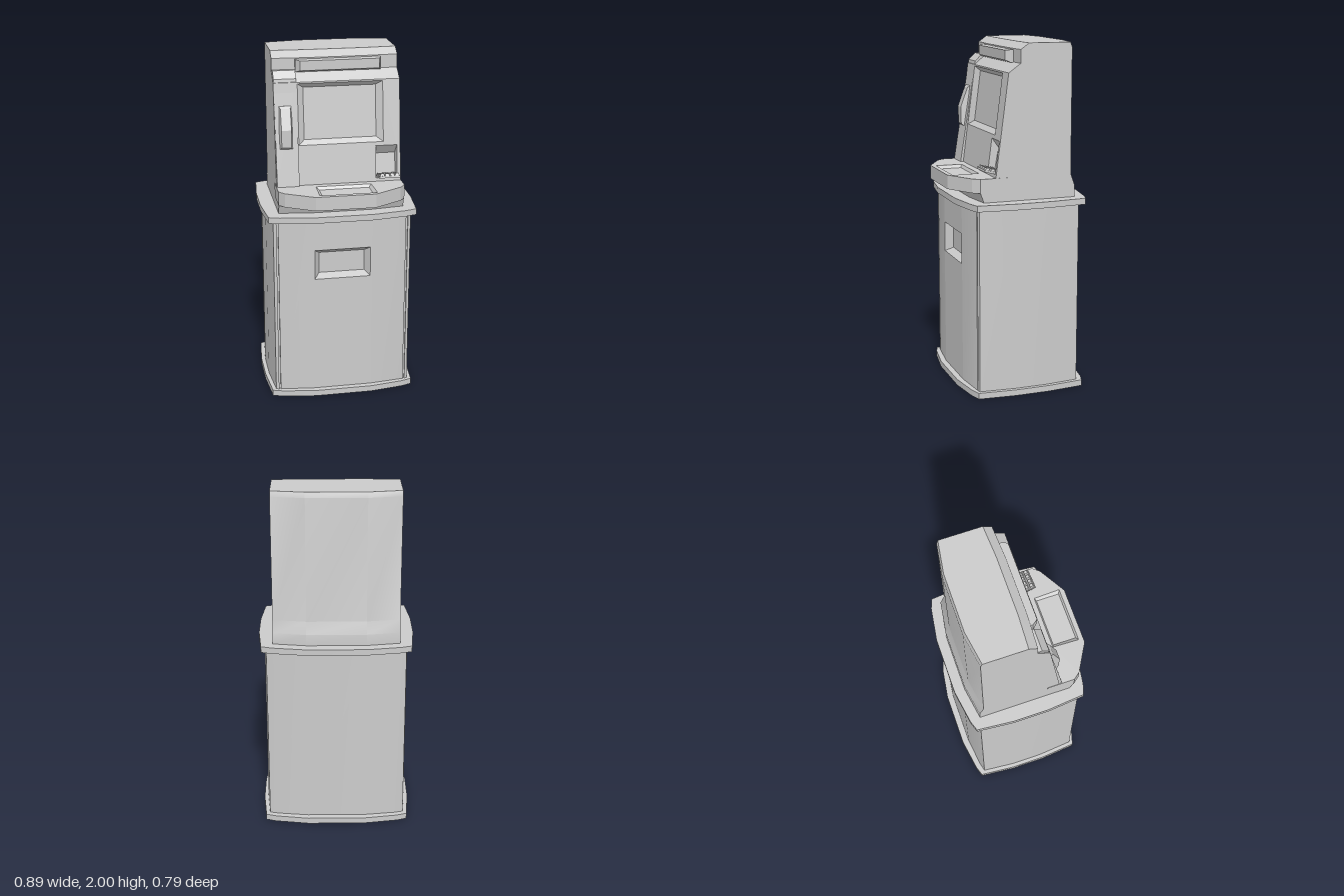
import * as THREE from 'three';
import { toCreasedNormals } from 'three/addons/utils/BufferGeometryUtils.js';

const material = new THREE.MeshStandardMaterial({ color: 0xcccccc, side: THREE.DoubleSide });

function add(parent, name, geometry) {
  const mesh = new THREE.Mesh(geometry, material);
  mesh.name = name;
  parent.add(mesh);
  return mesh;
}

// Skin a stack of point loops; optionally leave them open or cap the ends.
function shell(loops, { open = false, start = false, end = false } = {}) {
  const pos = [];
  const tri = (...pts) => pts.forEach((p) => pos.push(...p));
  const n = loops[0].length;
  for (let k = 0; k < loops.length - 1; k++) {
    for (let i = 0; i < (open ? n - 1 : n); i++) {
      const j = (i + 1) % n, a = loops[k], b = loops[k + 1];
      tri(a[i], a[j], b[j], a[i], b[j], b[i]);
    }
  }
  const first = loops[0], last = loops[loops.length - 1];
  for (let i = 1; i < n - 1; i++) {
    if (start) tri(first[0], first[i + 1], first[i]);
    if (end) tri(last[0], last[i], last[i + 1]);
  }
  const geo = new THREE.BufferGeometry();
  geo.setAttribute('position', new THREE.Float32BufferAttribute(pos, 3));
  return toCreasedNormals(geo, 0.35);
}

// Flat sheet with holes, each 2D point placed in space by a rule.
function sheet(outline, holes, place) {
  const vec = (list) => list.map(([x, y]) => new THREE.Vector2(x, y));
  const shape = new THREE.Shape(vec(outline));
  holes.forEach((h) => shape.holes.push(new THREE.Path(vec(h))));
  const geo = new THREE.ShapeGeometry(shape);
  const p = geo.attributes.position;
  for (let i = 0; i < p.count; i++) p.setXYZ(i, ...place(p.getX(i), p.getY(i)));
  geo.computeVertexNormals();
  return geo;
}

const rect = (x0, x1, y0, y1) => [[x0, y0], [x1, y0], [x1, y1], [x0, y1]];
// Front-facing loop, with depth as a number or as a function of height.
const facing = (r, z) => r.map(([x, y]) => [x, y, typeof z === 'function' ? z(y) : z]);
// Upward-facing loop; the second coordinate is -z.
const level = (r, y) => r.map(([x, v]) => [x, y, -v]);
// Mirrored plan outline from its +x half, given front to back as [x, z].
const plan = (half) => [...half, ...half.map(([x, z]) => [-x, z]).reverse()].map(([x, z]) => [x, -z]);

export function createModel() {
  const model = new THREE.Group();

  // Pedestal slabs
  const slabHalf = [[0.17, 0.35], [0.365, 0.32], [0.425, 0.3], [0.445, 0.08],
    [0.445, -0.13], [0.425, -0.345], [0.365, -0.365], [0.17, -0.395]];
  const slab = plan(slabHalf);
  const base = plan(slabHalf.map(([x, z]) => [x * 0.985, (z + 0.02) * 0.985 - 0.02]));
  const caps = { start: true, end: true };
  add(model, 'baseSlab', shell([level(base, 0), level(base, 0.035)], caps));
  add(model, 'counterSlab', shell([level(slab, 1.09), level(slab, 1.125)], caps));

  // Pedestal walls, grooved beside the front corner posts
  const walls = plan([[0.17, 0.31], [0.37, 0.287], [0.37, 0.277], [0.38, 0.277], [0.38, 0.287],
    [0.397, 0.28], [0.415, 0.07], [0.415, -0.12], [0.397, -0.315], [0.345, -0.328], [0.17, -0.35]]);
  add(model, 'pedestalWalls', shell([level(walls, 0.035), level(walls, 1.09)], { open: true }));

  // Pedestal front with its bevelled pocket
  const pocket = rect(-0.165, 0.158, 0.735, 0.912);
  add(model, 'pedestalFront', sheet(rect(-0.17, 0.17, 0.035, 1.09), [pocket], (x, y) => [x, y, 0.31]));
  add(model, 'pedestalPocket', shell([facing(pocket, 0.31),
    facing(rect(-0.135, 0.13, 0.758, 0.882), 0.265)], { end: true }));

  // Upper housing: back, top and brow as [middle z, edge z, y]
  const profile = [[-0.335, -0.305, 1.125], [-0.335, -0.305, 1.19], [-0.31, -0.28, 1.26],
    [-0.31, -0.28, 1.97], [-0.3, -0.27, 2], [-0.015, -0.025, 2], [0.035, 0.025, 1.965],
    [0.035, 0.025, 1.89], [0.095, 0.095, 1.84]];
  add(model, 'housingShell', shell(profile.map(([m, e, y]) =>
    [[0.36, y, e], [0.17, y, m], [-0.17, y, m], [-0.36, y, e]]), { open: true }));
  const side = [...profile.map(([, e, y]) => [e, y]), [0.17, 1.26], [0.17, 1.125]];
  for (const s of [1, -1]) {
    const flank = sheet(side, [], (z, y) => [s * 0.36, y, z]);
    add(model, s > 0 ? 'leftFlank' : 'rightFlank', flank);
  }

  // Sloping face with screen and keypad recesses
  const faceZ = (y) => 0.095 + (1.84 - y) * 0.075 / 0.58;
  const screen = rect(-0.225, 0.262, 1.487, 1.832);
  const niche = rect(0.217, 0.34, 1.28, 1.465);
  // Keypad niche cuts below the screen only
  add(model, 'slopingFace', sheet(rect(-0.36, 0.36, 1.26, 1.84), [screen, niche], (x, y) => [x, y, faceZ(y)]));
  add(model, 'screen', shell([facing(screen, faceZ),
    facing(rect(-0.19, 0.225, 1.512, 1.806), (y) => faceZ(y) - 0.027)], { end: true }));
  add(model, 'keypadNiche', shell([facing(niche, faceZ),
    facing(rect(0.22, 0.337, 1.282, 1.41), (y) => (y > 1.4 ? 0.105 : 0.128))], { end: true }));

  // Sign bar on the brow
  add(model, 'signBar', shell([facing(rect(-0.228, 0.26, 1.887, 1.958), 0.03),
    facing(rect(-0.228, 0.26, 1.887, 1.958), 0.045),
    facing(rect(-0.205, 0.247, 1.9, 1.955), 0.075)], { end: true }));

  // Raised side panel
  const panel = new THREE.Shape([[0, 1.9], [0.05, 1.9], [0.09, 1.86], [0.187, 1.258], [0.1, 1.258]]
    .map(([z, y]) => new THREE.Vector2(z, y)).reverse());
  const panelGeo = new THREE.ExtrudeGeometry(panel, { depth: 0.127, bevelEnabled: false });
  add(model, 'sidePanel', panelGeo.rotateY(-Math.PI / 2).translate(-0.23, 0, 0));

  // Bowed handle: cross-sections from bottom to top as [y, back z, front z, front half width]
  const handle = [[1.473, 0.14, 0.155, 0.036], [1.485, 0.14, 0.168, 0.028], [1.585, 0.125, 0.17, 0.028],
    [1.7, 0.1, 0.128, 0.028], [1.712, 0.1, 0.115, 0.036]];
  add(model, 'handle', shell(handle.map(([y, b, f, w]) =>
    [[-0.338, y, b], [-0.298 - w, y, f], [-0.298 + w, y, f], [-0.258, y, b]]), caps));

  // Skirt under the deck
  const skirt = (front, edge, y) => level(plan([[0.17, front], [0.36, edge], [0.36, 0.1]]), y);
  add(model, 'deckSkirt', shell([skirt(0.265, 0.24, 1.125), skirt(0.29, 0.26, 1.18)]));

  // Deck with a shallow tray
  const deck = plan([[0.17, 0.393], [0.33, 0.3], [0.362, 0.26], [0.362, 0.1]]);
  const tray = [[-0.145, -0.365], [0.183, -0.365], [0.178, -0.21], [-0.14, -0.21]];
  add(model, 'deckRim', shell([level(deck, 1.18), level(deck, 1.26)], { start: true }));
  add(model, 'deckTop', sheet(deck, [tray], (x, v) => [x, 1.26, -v]));
  add(model, 'deckTray', shell([level(tray, 1.26),
    level(rect(-0.123, 0.165, -0.356, -0.22), 1.243)], { end: true }));

  // Keypad, tilted in its niche
  const keypad = new THREE.Group();
  keypad.name = 'keypad';
  keypad.position.set(0.282, 1.29, 0.184);
  keypad.rotation.set(-0.25, 0.05, 0);
  add(keypad, 'keypadPlate', new THREE.BoxGeometry(0.12, 0.012, 0.1));
  for (let row = 0; row < 3; row++) {
    for (let col = 0; col < 4; col++) {
      const x = (col - 1.5) * 0.029, v = (row - 1) * 0.032;
      const square = (r, y) => level(rect(x - r, x + r, v - r, v + r), y);
      add(keypad, 'key', shell([square(0.013, 0.006), square(0.009, 0.02)], { end: true }));
    }
  }
  model.add(keypad);

  return model;
}
